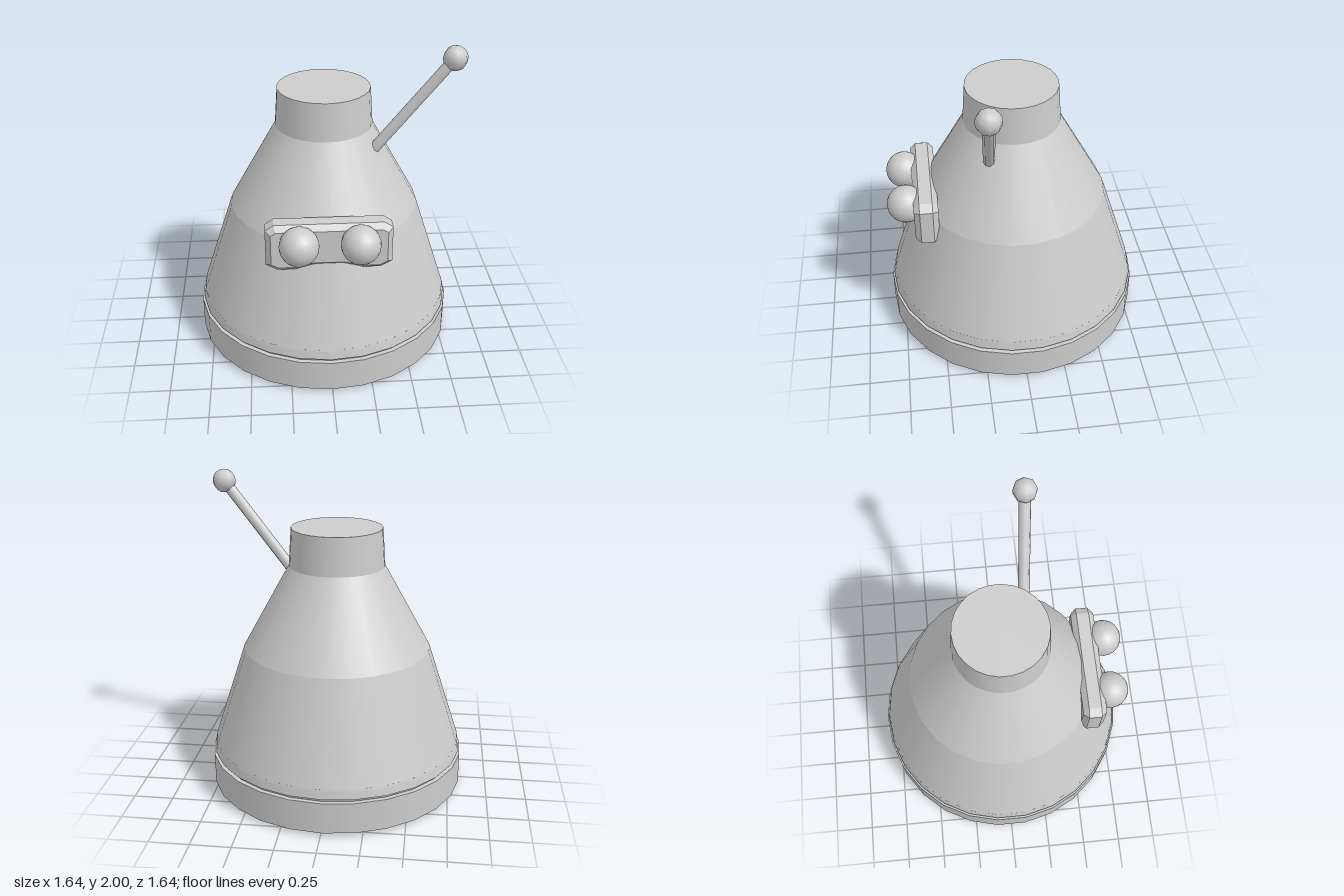
import * as THREE from 'three';

const SIDES = 26;
const CX = -0.005;

export function createModel() {
  const model = new THREE.Group();
  const grey = new THREE.MeshStandardMaterial({ color: 0xcccccc });
  grey.name = 'light grey';

  const add = (name, geometry, x = 0, y = 0, z = 0) => {
    const mesh = new THREE.Mesh(geometry, grey);
    mesh.name = name;
    mesh.position.set(x, y, z);
    model.add(mesh);
    return mesh;
  };

  // Round sections of the bell-shaped body: name, bottom y, top y, bottom radius, top radius, open ends
  const sections = [
    ['baseFoot', 0, 0.03, 0.77, 0.78, false],
    ['baseRing', 0.02, 0.22, 0.822, 0.822, false],
    ['skirtRim', 0.21, 0.25, 0.79, 0.805, false],
    ['skirtBand', 0.24, 0.3, 0.812, 0.8, false],
    ['lowerBody', 0.29, 0.92, 0.803, 0.597, true],
    ['upperBody', 0.92, 1.45, 0.597, 0.303, true],
    ['neck', 1.45, 1.69, 0.303, 0.287, false],
  ];
  for (const [name, y0, y1, r0, r1, open] of sections) {
    add(name, new THREE.CylinderGeometry(r1, r0, y1 - y0, SIDES, 1, open), CX, (y0 + y1) / 2, 0);
  }

  // Bevelled eye plate with an arched lower edge
  const half = [
    [0.09, 0.828], [0.2, 0.8], [0.3, 0.8], [0.345, 0.825], [0.345, 1.02], [0.315, 1.04],
  ];
  const outline = [...half, ...half.map(([x, y]) => [-x, y]).reverse()];
  const plate = new THREE.Shape(outline.map(([x, y]) => new THREE.Vector2(x, y)));
  add('eyePlate', new THREE.ExtrudeGeometry(plate, {
    depth: 0.08, bevelThickness: 0.035, bevelSize: 0.032, bevelSegments: 1,
  }), -0.01, 0, 0.525);

  // Eyes
  for (const side of [-1, 1]) {
    add(side < 0 ? 'rightEye' : 'leftEye', new THREE.SphereGeometry(0.118, 20, 14),
      -0.01 + side * 0.18, 0.972, 0.686);
  }

  // Slanted antenna with a ball on its end
  const foot = new THREE.Vector3(0.295, 1.345, 0.172);
  const tip = new THREE.Vector3(0.748, 1.925, 0.212);
  const dir = tip.clone().sub(foot);
  const middle = foot.clone().add(tip).multiplyScalar(0.5);
  const rod = add('antennaRod', new THREE.CylinderGeometry(0.036, 0.036, dir.length(), 8),
    middle.x, middle.y, middle.z);
  rod.quaternion.setFromUnitVectors(new THREE.Vector3(0, 1, 0), dir.normalize());
  add('antennaBall', new THREE.SphereGeometry(0.075, 8, 8), tip.x, tip.y, tip.z);

  return model;
}
